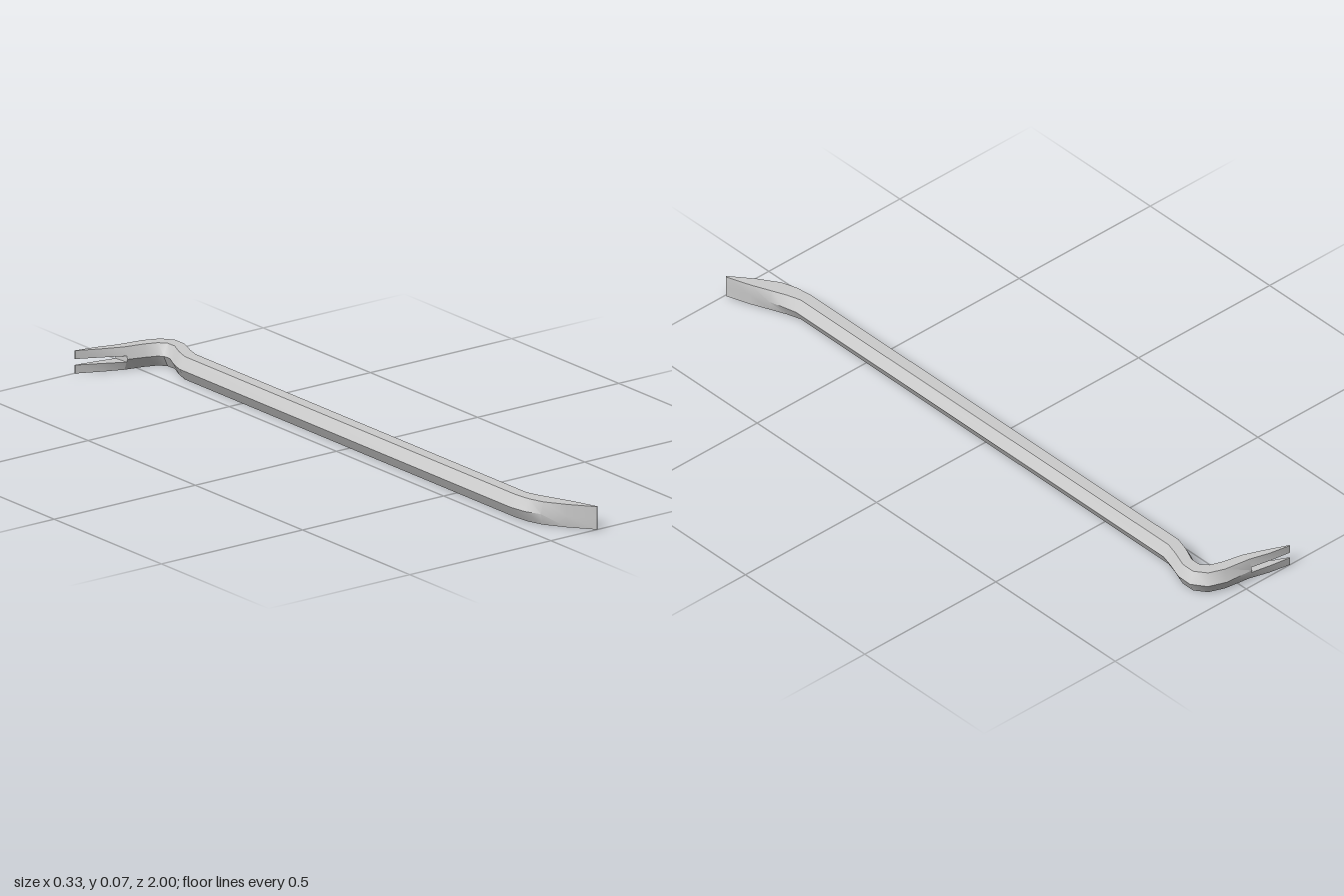
import * as THREE from 'three';
import { toCreasedNormals } from 'three/addons/utils/BufferGeometryUtils.js';

const H = 0.068; // bar thickness in y
const MID = H / 2;
const SLOT = 0.009; // half width of the nail slot

// Skin a row of closed rings and cap both ends
function loft(rings) {
  const n = rings[0].length;
  const index = [];
  for (let i = 0; i < rings.length - 1; i++) {
    for (let j = 0; j < n; j++) {
      const k = (j + 1) % n;
      const a = i * n + j, b = i * n + k, c = b + n, d = a + n;
      index.push(a, b, c, a, c, d);
    }
  }
  const last = (rings.length - 1) * n;
  for (let j = 1; j < n - 1; j++) {
    index.push(0, j + 1, j, last, last + j, last + j + 1);
  }
  const geo = new THREE.BufferGeometry();
  geo.setAttribute('position', new THREE.Float32BufferAttribute(rings.flat(2), 3));
  geo.setIndex(index);
  return toCreasedNormals(geo, 0.6);
}

// Point between the outer and inner plan edges of a station, at height y
function at([ox, oz, ix, iz], t, y) {
  return [ox + (ix - ox) * t, y, oz + (iz - oz) * t];
}

// Six-sided section: ridge, bottom flat, ridge, top flat
function hexRing(s) {
  const ko = s[4], ki = 1 - s[5];
  return [at(s, 0, MID), at(s, ko, 0), at(s, ki, 0), at(s, 1, MID), at(s, ki, H), at(s, ko, H)];
}

// Section of the upper prong, which is the bar section above the slot
function prongRing(s) {
  const f = SLOT / MID;
  return [
    at(s, s[4] * f, MID + SLOT), at(s, 1 - s[5] * f, MID + SLOT),
    at(s, 1 - s[5], H), at(s, s[4], H),
  ];
}

export function createModel() {
  const group = new THREE.Group();
  const material = new THREE.MeshStandardMaterial({ color: 0xcccccc });
  const add = (name, rings) => {
    const mesh = new THREE.Mesh(loft(rings), material);
    mesh.name = name;
    group.add(mesh);
  };

  // Stations: outer x, z, inner x, z, outer bevel, inner bevel
  const slotStart = [-0.04, -0.98, -0.036, -0.927, 0.2, 0.25];
  const bar = [
    [0.167, 0.997, 0.164, 1.0, 0, 0], // chisel tip
    [0.143, 0.92, 0.107, 0.933, 0.06, 0.05],
    [0.125, 0.86, 0.059, 0.875, 0.14, 0.15],
    [0.112, 0.815, 0.037, 0.83, 0.2, 0.22],
    [0.102, 0.775, 0.028, 0.775, 0.25, 0.25],
    [0.102, -0.765, 0.028, -0.77, 0.25, 0.25], // straight shaft
    [0.113, -0.805, 0.042, -0.815, 0.25, 0.25],
    [0.132, -0.86, 0.064, -0.862, 0.25, 0.25], // gooseneck
    [0.133, -0.91, 0.062, -0.887, 0.25, 0.25],
    [0.103, -0.952, 0.047, -0.9, 0.25, 0.25],
    [0.05, -0.973, 0.015, -0.912, 0.25, 0.25],
    slotStart,
  ];
  add('bar', bar.map(hexRing));

  // Claw prongs, mirrored about the middle of the bar
  const claw = [
    slotStart,
    [-0.1, -0.99, -0.098, -0.962, 0.1, 0.12],
    [-0.168, -1.0, -0.167, -0.997, 0, 0],
  ].map(prongRing);
  add('upperProng', claw);
  add('lowerProng', claw.map((ring) => ring.map(([x, y, z]) => [x, H - y, z]).reverse()));

  return group;
}
